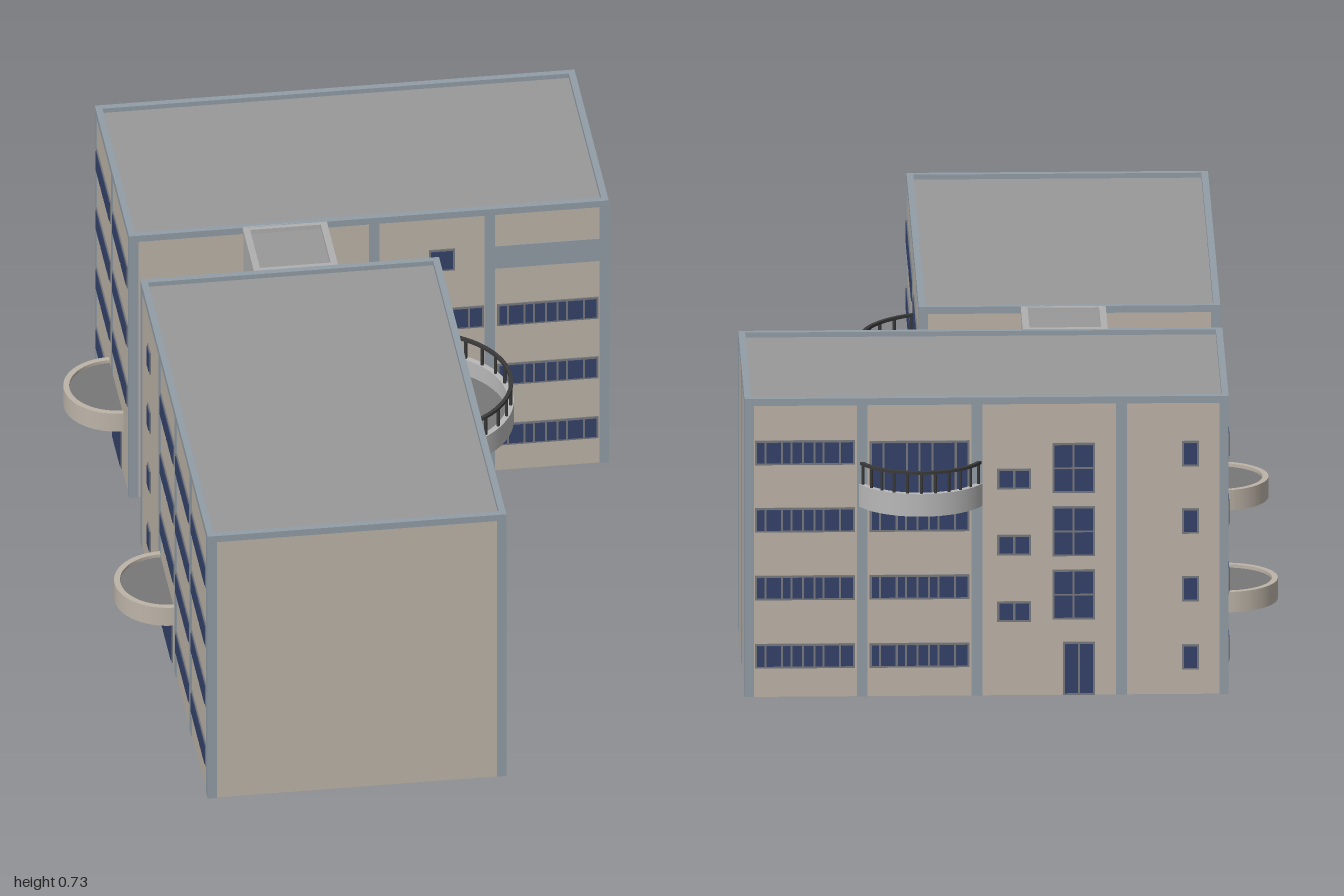
import * as THREE from 'three';

const mat = (c) => new THREE.MeshStandardMaterial({ color: c });
const M = {
  wall: mat(0xbdb4a8), trim: mat(0x929da6), roof: mat(0x999999), link: mat(0xb0b0b0),
  frame: mat(0x77797d), glass: mat(0x34426a), stone: mat(0xb8b8b8), floor: mat(0x777777),
  rail: mat(0x3a3a3a), base: mat(0x6a7074),
};
const H = 0.73;
const ROWS = [0.07, 0.237, 0.403, 0.568]; // window sill heights
const WH = 0.06;
const WIDE = [1, 2, 1, 1.3, 1.3, 1, 2, 1.6];

function box(parent, name, material, x0, x1, y0, y1, z0, z1) {
  const m = new THREE.Mesh(new THREE.BoxGeometry(x1 - x0, y1 - y0, z1 - z0), material);
  m.position.set((x0 + x1) / 2, (y0 + y1) / 2, (z0 + z1) / 2);
  m.name = name;
  parent.add(m);
  return m;
}

// Four upright sides around a rectangle
function ring(parent, name, material, [x0, x1, z0, z1], t, y0, y1) {
  box(parent, name, material, x0, x1, y0, y1, z1 - t, z1);
  box(parent, name, material, x0, x1, y0, y1, z0, z0 + t);
  box(parent, name, material, x0, x0 + t, y0, y1, z0 + t, z1 - t);
  box(parent, name, material, x1 - t, x1, y0, y1, z0 + t, z1 - t);
}

// Hollow block: walls, sunken flat roof, parapet cap
function block(parent, name, r, wall, cap) {
  const g = new THREE.Group();
  g.name = name;
  parent.add(g);
  const [x0, x1, z0, z1] = r;
  const e = 0.002;
  ring(g, 'wall', wall, [x0 + e, x1 - e, z0 + e, z1 - e], 0.012, 0, H - 0.015);
  ring(g, 'parapet', cap, r, 0.016, H - 0.017, H);
  box(g, 'roof', M.roof, x0 + 0.01, x1 - 0.01, H - 0.025, H - 0.012, z0 + 0.01, z1 - 0.01);
  return g;
}

// A wall face: local x runs along the wall, local z points outward.
// sign turns the world coordinate along the wall into local x.
function facade(parent, name, x, z, turn, sign) {
  const g = new THREE.Group();
  g.name = name;
  g.position.set(x, 0, z);
  g.rotation.y = turn * Math.PI / 2;
  parent.add(g);
  const span = (a, b) => [Math.min(sign * a, sign * b), Math.max(sign * a, sign * b)];
  return {
    strip(a, b, y0 = 0, y1 = H - 0.016) {
      const [u0, u1] = span(a, b);
      box(g, 'pilaster', M.trim, u0, u1, y0, y1, -0.008, 0);
    },
    window(a, b, y0, y1, weights = [1], rows = 1, name = 'window') {
      const [u0, u1] = span(a, b);
      const w = new THREE.Group();
      w.name = name;
      g.add(w);
      box(w, 'frame', M.frame, u0, u1, y0, y1, -0.008, 0.001);
      const gap = 0.005;
      const unit = (u1 - u0 - gap * (weights.length + 1)) / weights.reduce((s, v) => s + v, 0);
      const ph = (y1 - y0 - gap * (rows + 1)) / rows;
      let u = u0 + gap;
      for (const k of weights) {
        for (let r = 0; r < rows; r++) {
          const y = y0 + gap + r * (ph + gap);
          box(w, 'pane', M.glass, u, u + k * unit, y, y + ph, -0.004, 0.003);
        }
        u += k * unit + gap;
      }
    },
    wideRows(a, b, rows) {
      for (const r of rows) this.window(a, b, ROWS[r], ROWS[r] + WH, WIDE);
    },
    // Curved tray sticking out of the wall: balcony or canopy
    bay(name, at, half, depth, y0, y1, edge, railTop) {
      const b = new THREE.Group();
      b.name = name;
      b.position.x = sign * at;
      g.add(b);
      const R = (half * half + depth * depth) / (2 * depth);
      const c = depth - R;
      const slab = (part, material, inset, width, bottom, top) => {
        const arc = (p, rad) => {
          const a = Math.asin(Math.max(-1, Math.min(1, -c / rad)));
          p.absarc(0, c, rad, a, Math.PI - a, false);
          return p;
        };
        const s = arc(new THREE.Shape(), R - inset);
        if (width) {
          // Curved band only: return along the inner arc
          const a = Math.asin(-c / (R - inset - width));
          s.absarc(0, c, R - inset - width, Math.PI - a, a, true);
        }
        s.closePath();
        const geo = new THREE.ExtrudeGeometry(s, { depth: top - bottom, bevelEnabled: false, curveSegments: 24 });
        geo.rotateX(Math.PI / 2);
        const m = new THREE.Mesh(geo, material);
        m.position.y = top;
        m.name = part;
        b.add(m);
      };
      slab('rim', edge, 0, 0.014, y0, y1);
      slab('deck', M.floor, 0.012, 0, y0 + 0.001, railTop ? y0 + 0.012 : y1 - 0.008);
      if (!railTop) return;
      slab('handrail', M.rail, 0.002, 0.009, railTop - 0.007, railTop);
      const a0 = Math.asin(-c / R);
      const n = 10;
      for (let i = 0; i <= n; i++) {
        const a = a0 + 0.04 + (Math.PI - 2 * a0 - 0.08) * i / n;
        const post = new THREE.Mesh(new THREE.CylinderGeometry(0.004, 0.004, railTop - y1, 6), M.rail);
        post.position.set(Math.cos(a) * (R - 0.007), (y1 + railTop) / 2, c + Math.sin(a) * (R - 0.007));
        post.name = 'railPost';
        b.add(post);
      }
    },
  };
}

export function createModel() {
  const model = new THREE.Group();
  model.name = 'building';
  const A = [-0.51, 0.20, -0.14, 1.0];
  const B = [-0.51, 0.63, -0.91, -0.33];
  const front = block(model, 'frontBlock', A, M.wall, M.trim);
  const rear = block(model, 'rearBlock', B, M.wall, M.trim);
  block(model, 'linkBlock', [-0.24, -0.04, -0.335, -0.135], M.link, M.link);
  box(front, 'floor', M.base, A[0] + 0.005, A[1] - 0.005, 0, 0.01, A[2] + 0.005, A[3] - 0.005);

  // Front block, front and back: plain with corner pilasters
  for (const f of [facade(front, 'frontFace', 0, 1.0, 0, 1), facade(front, 'backFace', 0, -0.14, 2, -1)]) {
    f.strip(-0.51, -0.488);
    f.strip(0.178, 0.20);
  }

  // Front block, left side: four window bays and a balcony
  const al = facade(front, 'leftFace', 0.20, 0, 1, -1);
  for (const z of [0.71, 0.433, 0.155]) al.strip(z - 0.014, z + 0.014);
  al.strip(0.973, 1.0);
  al.strip(-0.14, -0.113);
  al.wideRows(0.725, 0.97, [0, 1, 2, 3]);
  al.wideRows(0.45, 0.695, [0, 1, 2, 3]);
  al.wideRows(0.172, 0.417, [0, 1, 2]);
  al.wideRows(-0.108, 0.138, [0, 1, 2]);
  al.window(0.172, 0.33, 0.475, 0.625, [1, 2, 2, 1], 1, 'balconyDoor');
  al.window(-0.02, 0.138, 0.475, 0.625, [1, 2, 2, 1], 1, 'balconyDoor');
  al.bay('balcony', 0.15, 0.205, 0.135, 0.465, 0.52, M.stone, 0.574);

  // Front block, right side: entrance with canopy
  const ar = facade(front, 'rightFace', -0.51, 0, -1, 1);
  for (const z of [0.71, 0.45, 0.18]) ar.strip(z - 0.014, z + 0.014);
  ar.strip(0.973, 1.0);
  ar.strip(-0.14, -0.113);
  ar.wideRows(0.725, 0.97, [0, 1, 2, 3]);
  ar.wideRows(0.467, 0.693, [0, 1, 2, 3]);
  ar.wideRows(0.198, 0.433, [1, 2, 3]);
  for (const y of ROWS) ar.window(-0.02, 0.025, y, y + WH);
  ar.window(0.23, 0.40, 0, 0.122, [1, 2, 2, 1], 1, 'entranceDoor');
  ar.bay('canopy', 0.315, 0.125, 0.125, 0.13, 0.18, M.wall);

  // Rear block, front
  const bf = facade(rear, 'frontFace', 0, -0.33, 0, 1);
  bf.strip(0.608, 0.63);
  bf.strip(0.335, 0.36);
  bf.strip(0.06, 0.085);
  bf.strip(-0.51, -0.488);
  bf.strip(0.36, 0.608, 0.563, 0.625);
  bf.wideRows(0.365, 0.606, [0, 1, 2]);
  bf.wideRows(0.092, 0.333, [1, 2]);
  for (const r of [0, 3]) bf.window(0.203, 0.265, ROWS[r], ROWS[r] + WH);

  // Rear block, left side: plain panels
  const bl = facade(rear, 'leftFace', 0.63, 0, 1, -1);
  bl.strip(-0.352, -0.33);
  bl.strip(-0.63, -0.602);
  bl.strip(-0.91, -0.885);

  // Rear block, back: offices, balcony, stairwell
  const bb = facade(rear, 'backFace', 0, -0.91, 2, -1);
  for (const [a, b] of [[0.608, 0.63], [0.34, 0.365], [0.07, 0.095], [-0.27, -0.245], [-0.51, -0.488]]) bb.strip(a, b);
  bb.wideRows(0.37, 0.605, [0, 1, 2, 3]);
  bb.wideRows(0.1, 0.335, [0, 1, 2]);
  bb.window(0.1, 0.335, 0.475, 0.625, [1, 2, 1, 1, 2, 1], 1, 'balconyDoor');
  bb.bay('balcony', 0.215, 0.145, 0.09, 0.465, 0.52, M.stone, 0.574);
  for (const y of [0.18, 0.343, 0.505]) bb.window(-0.045, 0.035, y, y + 0.05, [1, 1]);
  for (const y of [0.185, 0.34, 0.495]) bb.window(-0.195, -0.095, y, y + 0.122, [1, 1], 2, 'stairWindow');
  bb.window(-0.195, -0.12, 0, 0.13, [1, 1], 1, 'backDoor');
  for (const y of ROWS) bb.window(-0.44, -0.40, y - 0.01, y + 0.052);

  // Rear block, right side: entrance with canopy
  const br = facade(rear, 'rightFace', -0.51, 0, -1, 1);
  br.strip(-0.91, -0.888);
  br.strip(-0.637, -0.612);
  br.strip(-0.352, -0.33);
  br.wideRows(-0.884, -0.643, [0, 1, 2, 3]);
  br.wideRows(-0.606, -0.358, [1, 2, 3]);
  br.window(-0.60, -0.46, 0, 0.122, [1, 2, 2, 1], 1, 'entranceDoor');
  br.bay('canopy', -0.545, 0.125, 0.125, 0.13, 0.18, M.wall);
  return model;
}
